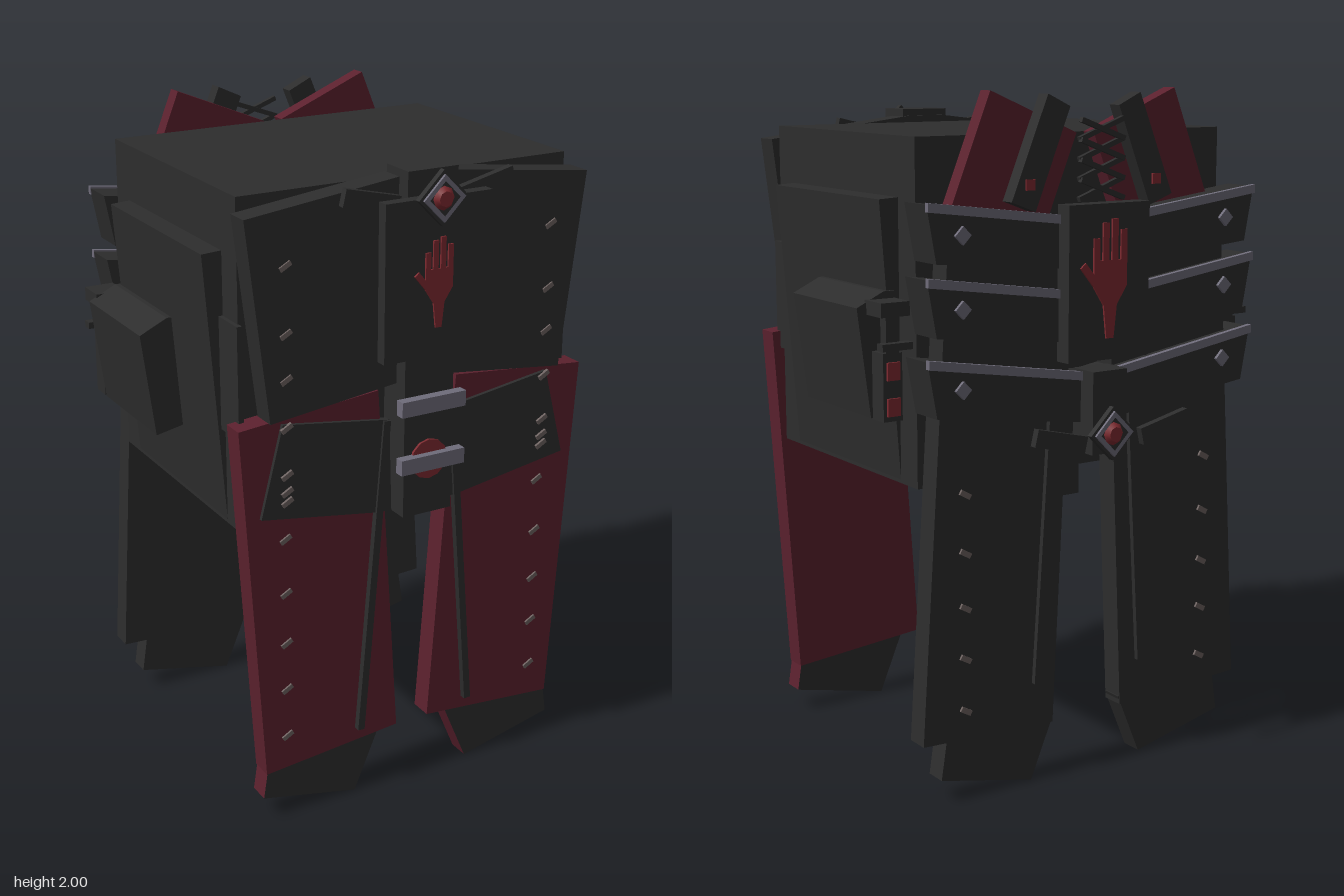
import * as THREE from 'three';

const mat = (name, color) => {
  const m = new THREE.MeshStandardMaterial({ color });
  m.name = name;
  return m;
};

export function createModel() {
  const root = new THREE.Group();
  root.name = 'layeredArmourOutfit';
  const dark = mat('charcoal', 0x2d2d2d);
  const wine = mat('wineCloth', 0x5c212e);
  const red = mat('brightRed', 0x7f2a30);
  const steel = mat('steelTrim', 0x6f6c7a);
  const stud = mat('studMetal', 0x6c615f);

  const add = (name, geo, m, parent = root) => {
    const mesh = new THREE.Mesh(geo, m);
    mesh.name = name;
    parent.add(mesh);
    return mesh;
  };
  // box given by its minimum and maximum corners
  const box = (name, x0, x1, y0, y1, z0, z1, m, parent) => {
    const b = add(name, new THREE.BoxGeometry(x1 - x0, y1 - y0, z1 - z0), m, parent);
    b.position.set((x0 + x1) / 2, (y0 + y1) / 2, (z0 + z1) / 2);
    return b;
  };
  // flat outline extruded from z0 to z1
  const plate = (name, pts, z0, z1, m, parent, hole) => {
    const shape = new THREE.Shape(pts.map(p => new THREE.Vector2(...p)));
    if (hole) shape.holes.push(new THREE.Path(hole.map(p => new THREE.Vector2(...p))));
    const geo = new THREE.ExtrudeGeometry(shape, { depth: z1 - z0, bevelEnabled: false });
    geo.translate(0, 0, z0);
    return add(name, geo, m, parent);
  };
  const pair = (name, pts, z0, z1, m) => {
    for (const s of [1, -1]) plate(name, pts.map(([x, y]) => [s * x, y]), z0, z1, m);
  };
  // straight bar between two points in a z plane
  const bar = (name, x0, y0, x1, y1, w, z0, z1, m, parent) => {
    const b = add(name, new THREE.BoxGeometry(Math.hypot(x1 - x0, y1 - y0), w, z1 - z0), m, parent);
    b.position.set((x0 + x1) / 2, (y0 + y1) / 2, (z0 + z1) / 2);
    b.rotation.z = Math.atan2(y1 - y0, x1 - x0);
    return b;
  };

  // core, hanging block beneath it, and side padding
  box('torsoBlock', -0.53, 0.53, 0.91, 1.88, -0.39, 0.4, dark);
  box('underBlock', -0.1, 0.1, 0.79, 0.92, -0.29, 0.3, dark);
  pair('sidePanel', [[0.5, 1.715], [0.59, 1.71], [0.53, 0.92], [0.5, 0.92]], -0.3, 0.31, dark);
  pair('hipPouch', [[0.55, 1.46], [0.585, 1.46], [0.67, 1.42], [0.63, 1.11], [0.53, 1.13]], -0.31, 0.06, dark);
  for (const s of [1, -1]) {
    box('waistTie', s * 0.535 - 0.008, s * 0.535 + 0.008, 1.2, 1.53, 0.3, 0.42, dark);
  }

  // front coat tails, back tails and the hem flaps under them
  pair('frontTail', [[0.57, 1.25], [0.13, 1.29], [0.055, 0.19], [0.5, 0.15]], 0.4, 0.47, wine);
  pair('backTail', [[0.48, 1.6], [0.06, 1.58], [0.125, 0.165], [0.57, 0.185]], -0.475, -0.405, dark);
  const hem = [[0.49, 0.2], [0.51, 0.07], [0.2, 0], [0.12, 0.19]];
  pair('frontHem', hem, 0.402, 0.468, [dark, wine]);
  pair('backHem', hem, -0.473, -0.407, dark);

  // front chest and waist flaps
  pair('chestFlap', [[0.55, 1.84], [0.06, 1.9], [0, 1.9], [0, 1.32], [0.06, 1.31], [0.48, 1.26]], 0.41, 0.485, dark);
  pair('waistFlap', [[0.44, 1.25], [0.1, 1.2], [0.09, 0.92], [0.13, 0.92], [0.51, 0.98]], 0.46, 0.482, dark);

  // front centre strap, plate and buckles
  box('collarBlock', -0.08, 0.08, 1.7, 1.92, 0.42, 0.53, dark);
  box('centreStrap', -0.08, 0.08, 0.91, 1.42, 0.42, 0.53, dark);
  box('chestPlate', -0.17, 0.17, 1.4, 1.85, 0.53, 0.565, dark);
  for (const y of [1.253, 1.078]) box('buckle', -0.105, 0.105, y - 0.023, y + 0.023, 0.53, 0.56, steel);
  const seal = add('strapSeal', new THREE.CylinderGeometry(0.06, 0.06, 0.008, 12).rotateX(Math.PI / 2), red);
  seal.position.set(0, 1.08, 0.534);

  // cords and slanted studs on both faces
  for (const s of [1, -1]) {
    bar('frontCord', s * 0.11, 1.2, s * 0.19, 0.22, 0.022, 0.47, 0.49, dark);
    bar('backCord', s * 0.14, 1.1, s * 0.19, 0.3, 0.02, -0.49, -0.47, dark);
    for (const y of [1.7, 1.51, 1.38, 1.24, 1.1, 1.05, 1.02, 0.9, 0.73, 0.57, 0.42, 0.265]) {
      const z = y > 0.95 ? 0.484 : 0.47;
      bar('frontStud', s * 0.43 - 0.016, y - 0.009, s * 0.43 + 0.016, y + 0.009, 0.014, z - 0.004, z + 0.006, stud);
      if (y < 1) bar('backStud', s * 0.43 - 0.016, y - 0.009, s * 0.43 + 0.016, y + 0.009, 0.016, -0.482, -0.472, stud);
    }
  }

  // raised back collar
  pair('collarWing', [[0.32, 2], [0.03, 1.88], [0.19, 1.49], [0.48, 1.61]], -0.44, -0.392, wine);
  pair('collarTab', [[0.16, 1.99], [0.085, 1.955], [0.2, 1.67], [0.28, 1.7]], -0.485, -0.44, dark);
  for (const s of [1, -1]) box('collarTabStud', s * 0.22 - 0.015, s * 0.22 + 0.015, 1.73, 1.76, -0.491, -0.485, red);

  // back corset bands with steel edging and studs
  for (const [yo, yi] of [[1.71, 1.65], [1.51, 1.44], [1.29, 1.21]]) {
    pair('corsetBand', [[0.57, yo], [0, yi - 0.01], [0, yi - 0.15], [0.54, yo - 0.16]], -0.512, -0.4, dark);
    pair('corsetTrim', [[0.57, yo + 0.005], [0, yi - 0.005], [0, yi - 0.03], [0.57, yo - 0.02]], -0.521, -0.505, steel);
    for (const s of [1, -1]) {
      const d = box('corsetStud', s * 0.46 - 0.018, s * 0.46 + 0.018, yo - 0.105, yo - 0.069, -0.522, -0.51, steel);
      d.rotation.z = Math.PI / 4;
    }
  }
  box('backPlate', -0.14, 0.14, 1.25, 1.69, -0.56, -0.505, dark);

  // back lacing
  for (let i = 0; i < 4; i++) {
    const y = 1.7 + i * 0.055;
    for (const s of [1, -1]) bar('lace', -0.075 * s, y, 0.075 * s, y + 0.055, 0.014, -0.525 - 0.004 * s, -0.51 - 0.004 * s, dark);
  }

  // painted hand, fingers up
  const hand = (name, x, y, z, turn, k) => {
    const g = new THREE.Group();
    g.name = name;
    plate('palm', [[-0.055, 0.04], [0.055, 0.04], [0.055, -0.03], [0.022, -0.08], [0.012, -0.17],
      [-0.012, -0.17], [-0.022, -0.08], [-0.055, -0.03]], 0, 0.006, red, g);
    [0.1, 0.14, 0.15, 0.12].forEach((h, i) => {
      const fx = -0.045 + i * 0.03;
      box('finger', fx - 0.01, fx + 0.01, 0.035, h, 0, 0.006, red, g);
    });
    bar('thumb', -0.04, -0.03, -0.09, 0.03, 0.022, 0, 0.006, red, g);
    g.position.set(x, y, z);
    g.rotation.y = turn;
    g.scale.set(k, k, 1);
    root.add(g);
  };
  hand('chestHand', 0, 1.62, 0.565, 0, 0.8);
  hand('backHand', 0, 1.49, -0.56, Math.PI, 1.05);

  // diamond brooch with two wing bars
  const brooch = (name, y, z, turn, wingZ) => {
    const g = new THREE.Group();
    g.name = name;
    const diamond = r => [[0, r], [r, 0], [0, -r], [-r, 0]];
    plate('broochBase', diamond(0.078), 0, 0.018, dark, g);
    plate('broochFrame', diamond(0.066), 0.018, 0.026, steel, g, diamond(0.048));
    const gem = add('broochGem', new THREE.CylinderGeometry(0.022, 0.034, 0.014, 8).rotateX(Math.PI / 2), red, g);
    gem.position.z = 0.025;
    for (const s of [1, -1]) bar('broochWing', s * 0.1, -0.02, s * 0.27, 0.02, 0.05, wingZ, wingZ + 0.022, dark, g);
    g.position.set(0, y, z);
    g.rotation.y = turn;
    root.add(g);
  };
  brooch('frontBrooch', 1.85, 0.565, 0, -0.065);
  brooch('backBrooch', 1.04, -0.57, Math.PI, 0.003);
  box('backBroochMount', -0.06, 0.06, 0.98, 1.22, -0.57, -0.475, dark);

  // small hanging charms at the back of each hip
  for (const s of [1, -1]) {
    const g = new THREE.Group();
    g.name = 'hipCharm';
    box('charmStrap', 0.57, 0.63, 1.11, 1.3, -0.38, -0.32, dark, g);
    box('charmHook', 0.55, 0.64, 1.4, 1.44, -0.39, -0.3, dark, g);
    box('charmLink', 0.58, 0.62, 1.3, 1.4, -0.38, -0.35, dark, g);
    box('charmBar', 0.55, 0.645, 1.31, 1.33, -0.405, -0.375, dark, g);
    for (const y of [1.15, 1.25]) box('charmGem', 0.58, 0.62, y - 0.025, y + 0.025, -0.388, -0.38, red, g);
    if (s < 0) g.rotation.y = 0;
    g.position.x = s < 0 ? -1.2 : 0;
    root.add(g);
  }
  return root;
}
